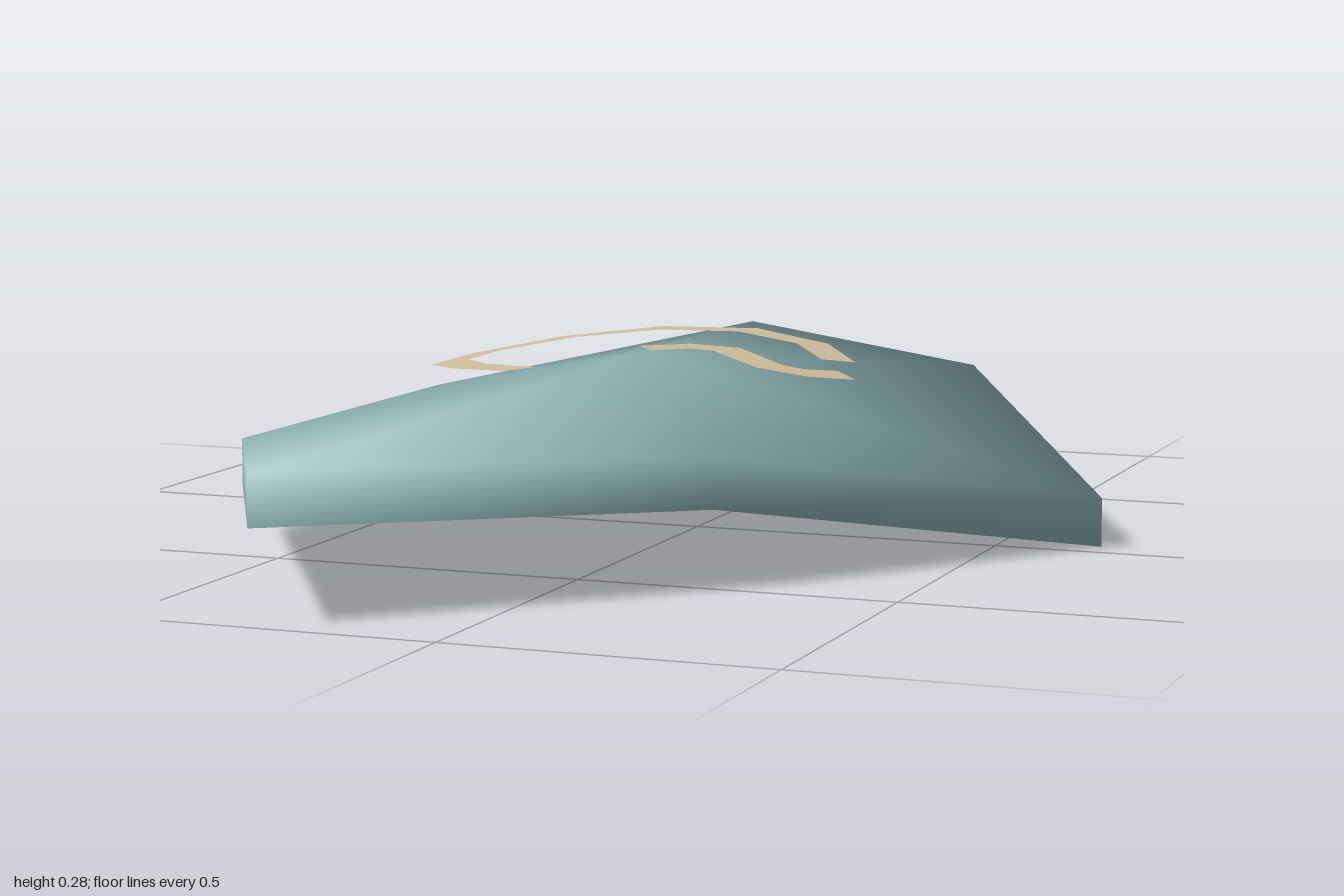
import * as THREE from 'three';

// Top edge of the plate, clockwise seen from above: x, y, z
const RIM = [
  [-0.27, 0.217, -1.0], [0.26, 0.195, -0.68], [0.658, 0.077, -0.05], [0.22, 0.197, 0.51],
  [-0.285, 0.217, 1.0], [-0.66, 0.152, 0.31], [-0.645, 0.152, -0.4],
];
const PEAK = [-0.105, 0.277, -0.045];
const THICKNESS = 0.077;

// Soft normals: each face counts by its corner angle, so the thin rim looks rounded
function softNormals(geometry) {
  const pos = geometry.attributes.position;
  const index = geometry.index.array;
  const normals = Array.from({ length: pos.count }, () => new THREE.Vector3());
  for (let f = 0; f < index.length; f += 3) {
    const ids = [index[f], index[f + 1], index[f + 2]];
    const p = ids.map((i) => new THREE.Vector3().fromBufferAttribute(pos, i));
    const n = new THREE.Triangle(...p).getNormal(new THREE.Vector3());
    ids.forEach((id, k) => {
      const a = p[(k + 1) % 3].clone().sub(p[k]);
      const b = p[(k + 2) % 3].clone().sub(p[k]);
      normals[id].addScaledVector(n, a.angleTo(b));
    });
  }
  const flat = normals.flatMap((n) => n.normalize().toArray());
  geometry.setAttribute('normal', new THREE.Float32BufferAttribute(flat, 3));
}

// Domed shell, open below: a fan on top and a short wall hanging from the rim
function plateGeometry() {
  const n = RIM.length;
  const hem = RIM.map(([x, y, z]) => [x, y - THICKNESS, z]);
  const peak = 2 * n;
  const faces = [];
  for (let i = 0; i < n; i++) {
    const j = (i + 1) % n;
    faces.push(peak, j, i);
    faces.push(i, j, n + j, i, n + j, n + i);
  }
  const geometry = new THREE.BufferGeometry();
  geometry.setAttribute('position', new THREE.Float32BufferAttribute([...RIM, ...hem, PEAK].flat(), 3));
  geometry.setIndex(faces);
  softNormals(geometry);
  return geometry;
}

// Flat mitred ribbon along x, z points, bent over a shallow arch
function ribbonGeometry(points, width) {
  const path = points.map(([x, z]) => new THREE.Vector2(x, z));
  const position = [];
  const faces = [];
  path.forEach((p, i) => {
    const before = p.clone().sub(path[Math.max(i - 1, 0)]).normalize();
    const after = path[Math.min(i + 1, path.length - 1)].clone().sub(p).normalize();
    const dir = before.clone().add(after).normalize();
    const ref = i === 0 ? after : before;
    const half = width / 2 / Math.max(dir.dot(ref), 0.5);
    for (const side of [-1, 1]) {
      const x = p.x - dir.y * half * side;
      const z = p.y + dir.x * half * side;
      position.push(x, 0.28 - 0.25 * (x + 0.1) ** 2, z);
    }
    if (i > 0) {
      const k = i * 2;
      faces.push(k - 2, k - 1, k, k - 1, k + 1, k);
    }
  });
  const geometry = new THREE.BufferGeometry();
  geometry.setAttribute('position', new THREE.Float32BufferAttribute(position, 3));
  geometry.setIndex(faces);
  geometry.computeVertexNormals();
  return geometry;
}

export function createModel() {
  const glaze = new THREE.MeshStandardMaterial({ color: 0x8ab0b1, side: THREE.DoubleSide });
  glaze.name = 'blueGreenGlaze';
  const tan = new THREE.MeshStandardMaterial({ color: 0xcfbe9b, side: THREE.DoubleSide });
  tan.name = 'tanInlay';

  const group = new THREE.Group();
  group.name = 'shard';
  const add = (name, geometry, material) => {
    const mesh = new THREE.Mesh(geometry, material);
    mesh.name = name;
    group.add(mesh);
  };

  add('plate', plateGeometry(), glaze);

  // Painted lines: a large open curl and a small wave inside it
  add('curlLine', ribbonGeometry([
    [0.185, -0.16], [0.097, -0.285], [-0.045, -0.36], [-0.2, -0.35], [-0.335, -0.265],
    [-0.417, -0.11], [-0.417, 0.045], [-0.325, 0.17], [-0.2, 0.252],
  ], 0.058), tan);
  add('waveLine', ribbonGeometry([
    [-0.113, -0.055], [-0.053, -0.108], [0.01, -0.108], [0.125, 0.005], [0.185, 0.005], [0.237, -0.048],
  ], 0.06), tan);

  return group;
}
